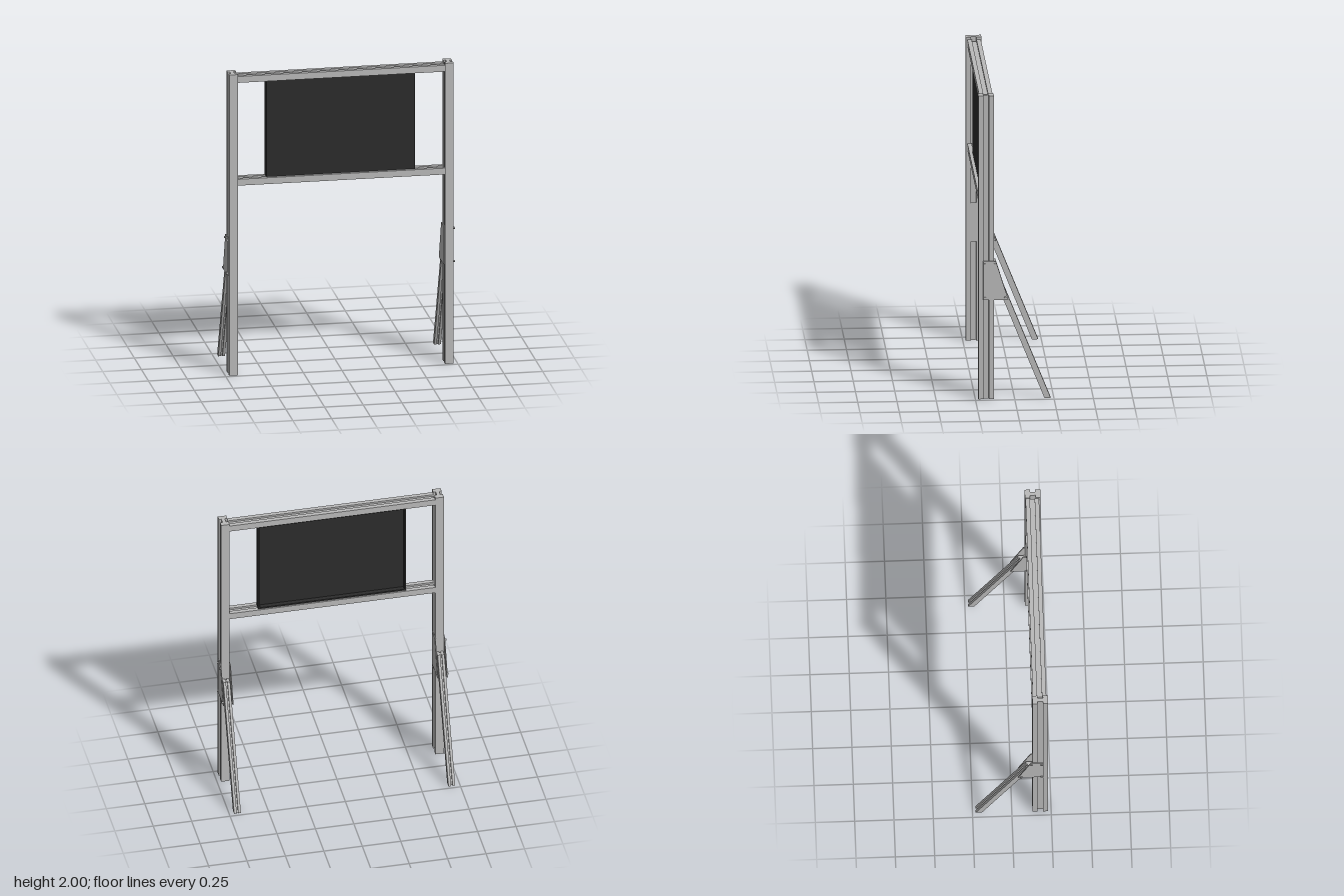
import * as THREE from 'three';

const metal = new THREE.MeshStandardMaterial({ color: 0xbababa });
metal.name = 'aluminium grey';
const black = new THREE.MeshStandardMaterial({ color: 0x2c2c2c });
black.name = 'screen black';

// Grooved bar along +y from 0: grooves of the given depth on both x faces
function groovedBar(width, depth, length, groove, cut) {
  const x = width / 2, z = depth / 2, g = groove / 2, i = x - cut;
  const pts = [[-x, -z], [x, -z], [x, -g], [i, -g], [i, g], [x, g],
    [x, z], [-x, z], [-x, g], [-i, g], [-i, -g], [-x, -g]];
  const shape = new THREE.Shape(pts.map(([a, b]) => new THREE.Vector2(a, b)));
  const geo = new THREE.ExtrudeGeometry(shape, { depth: length, bevelEnabled: false });
  return geo.rotateX(-Math.PI / 2);
}

function add(parent, name, geo, mat, x = 0, y = 0, z = 0) {
  const mesh = new THREE.Mesh(geo, mat);
  mesh.name = name;
  mesh.position.set(x, y, z);
  parent.add(mesh);
  return mesh;
}

function createModel() {
  const model = new THREE.Group();
  model.name = 'displayStand';

  // Brace plate outline in (z, y), extruded through a thin x
  const outline = [[0.2, 0.655], [0.2, 0.91], [0.12, 0.91], [0.04, 0.655]];
  const plateShape = new THREE.Shape(outline.map(([z, y]) => new THREE.Vector2(-z, y)));
  const plateGeo = new THREE.ExtrudeGeometry(plateShape, { depth: 0.006, bevelEnabled: false });
  plateGeo.rotateY(Math.PI / 2).translate(-0.003, 0, 0);

  // Rear leg: grooved front and back, sheared so both ends stay level
  const legGeo = groovedBar(0.04, 0.044, 0.8, 0.01, 0.012).rotateY(Math.PI / 2);
  legGeo.applyMatrix4(new THREE.Matrix4().set(
    1, 0, 0, 0,
    0, 1, 0, 0,
    0, 0.4, 1, 0,
    0, 0, 0, 1));
  legGeo.deleteAttribute('normal');
  legGeo.computeVertexNormals();

  const boltGeo = new THREE.CylinderGeometry(0.007, 0.007, 0.009, 12).rotateZ(Math.PI / 2);

  for (const s of [-1, 1]) {
    const side = new THREE.Group();
    side.name = s > 0 ? 'leftSupport' : 'rightSupport';
    model.add(side);
    add(side, 'post', groovedBar(0.055, 0.1, 2, 0.034, 0.016), metal, s * 0.697, 0, 0.181);
    add(side, 'rearLeg', legGeo, metal, s * 0.697, 0, -0.21);
    add(side, 'outerBracePlate', plateGeo, metal, s * 0.7275);
    add(side, 'innerBracePlate', plateGeo, metal, s * 0.6665);
    for (const [y, z] of [[0.89, 0.19], [0.89, 0.125], [0.67, 0.19], [0.67, 0.06]])
      add(side, 'bolt', boltGeo, metal, s * 0.734, y, z);
  }

  // Cross beams, grooved above and below
  for (const [name, y] of [['topBeam', 1.963], ['bottomBeam', 1.279]]) {
    const geo = groovedBar(0.042, 0.086, 1.34, 0.03, 0.012);
    geo.rotateZ(Math.PI / 2).translate(0.67, 0, 0);
    add(model, name, geo, metal, 0, y, 0.178);
  }

  // Screen panel with a raised rim around its recessed back
  const screen = new THREE.Group();
  screen.name = 'screen';
  model.add(screen);
  add(screen, 'panel', new THREE.BoxGeometry(0.96, 0.642, 0.025), black, 0, 1.621, 0.1875);
  for (const s of [-1, 1]) {
    add(screen, 'sideRim', new THREE.BoxGeometry(0.01, 0.642, 0.03), black, s * 0.475, 1.621, 0.16);
    add(screen, 'edgeRim', new THREE.BoxGeometry(0.94, 0.01, 0.03), black, 0, 1.621 + s * 0.316, 0.16);
  }
  return model;
}

export { createModel };
